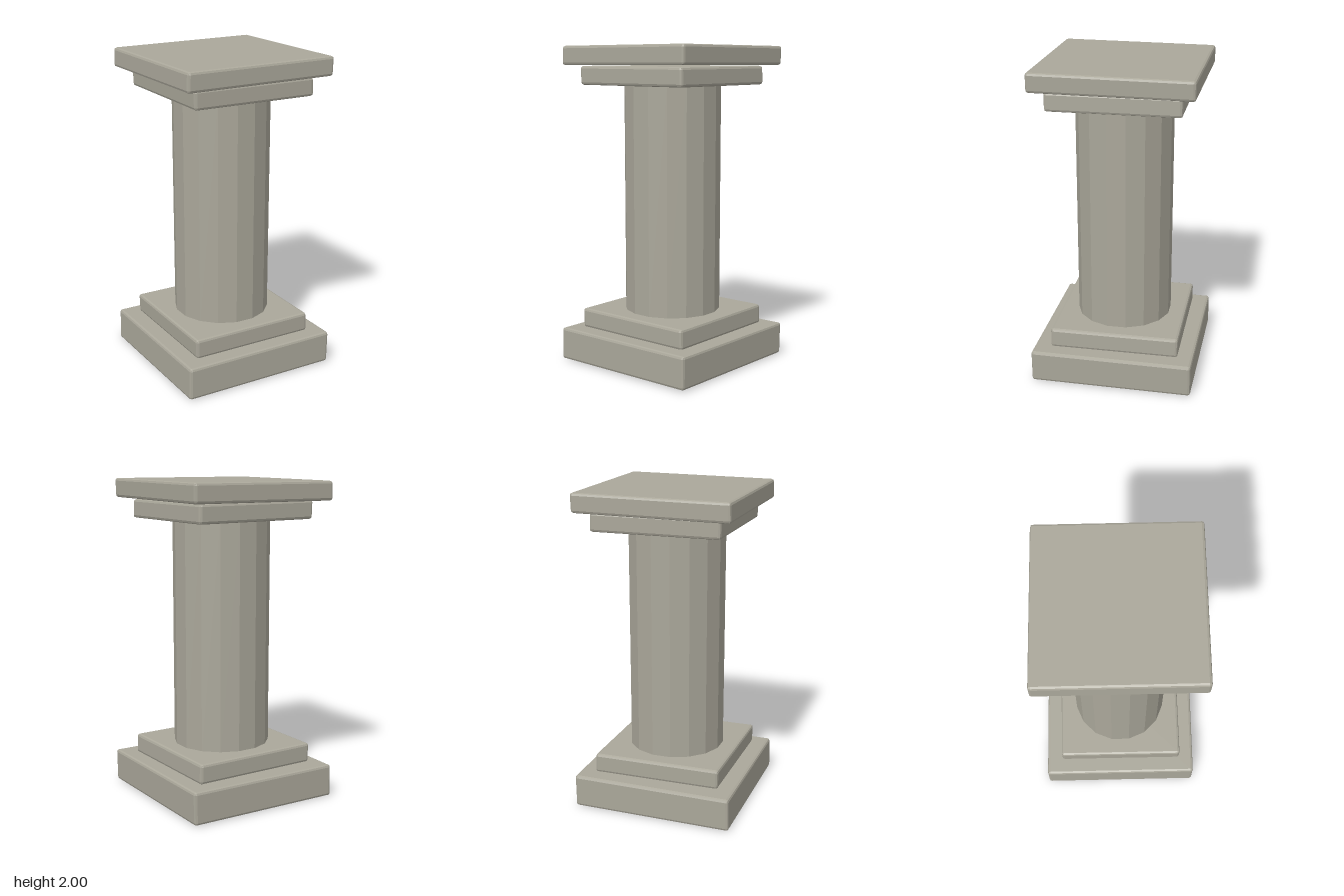
import * as THREE from 'three';
import { RoundedBoxGeometry } from 'three/addons/geometries/RoundedBoxGeometry.js';

const stone = new THREE.MeshStandardMaterial({ color: 0xaaa79a, flatShading: true });
stone.name = 'stone';

// Square slab with small chamfers; its edges are slightly out of true, as if hand cut
function slab(name, width, bottom, top, lean, z = 0) {
  const height = top - bottom;
  const geometry = new RoundedBoxGeometry(width, height, width, 1, 0.016);
  const p = geometry.attributes.position;
  for (let i = 0; i < p.count; i++) {
    const x = p.getX(i), y = p.getY(i), zz = p.getZ(i);
    p.setXYZ(i, x + lean * (y / height) * 0.5, y + lean * 0.5 * (x + zz), zz + lean * 0.6 * x);
  }
  geometry.computeVertexNormals();
  const mesh = new THREE.Mesh(geometry, stone);
  mesh.name = name;
  mesh.position.set(0, (bottom + top) / 2, z);
  return mesh;
}

export function createModel() {
  const column = new THREE.Group();
  column.name = 'column';

  // Stepped foot and stepped head
  column.add(
    slab('basePlinth', 1.01, 0.005, 0.21, 0.008),
    slab('baseStep', 0.81, 0.212, 0.335, -0.008),
    slab('capitalStep', 0.81, 1.757, 1.873, -0.008),
    slab('capitalSlab', 0.975, 1.877, 1.996, 0.008, -0.004),
  );

  // Sixteen-sided shaft with a flat side facing front
  const shaftGeometry = new THREE.CylinderGeometry(0.304, 0.302, 1.46, 16);
  shaftGeometry.rotateY(Math.PI / 16);
  const shaft = new THREE.Mesh(shaftGeometry, stone);
  shaft.name = 'shaft';
  shaft.position.y = 1.045;
  column.add(shaft);

  return column;
}
